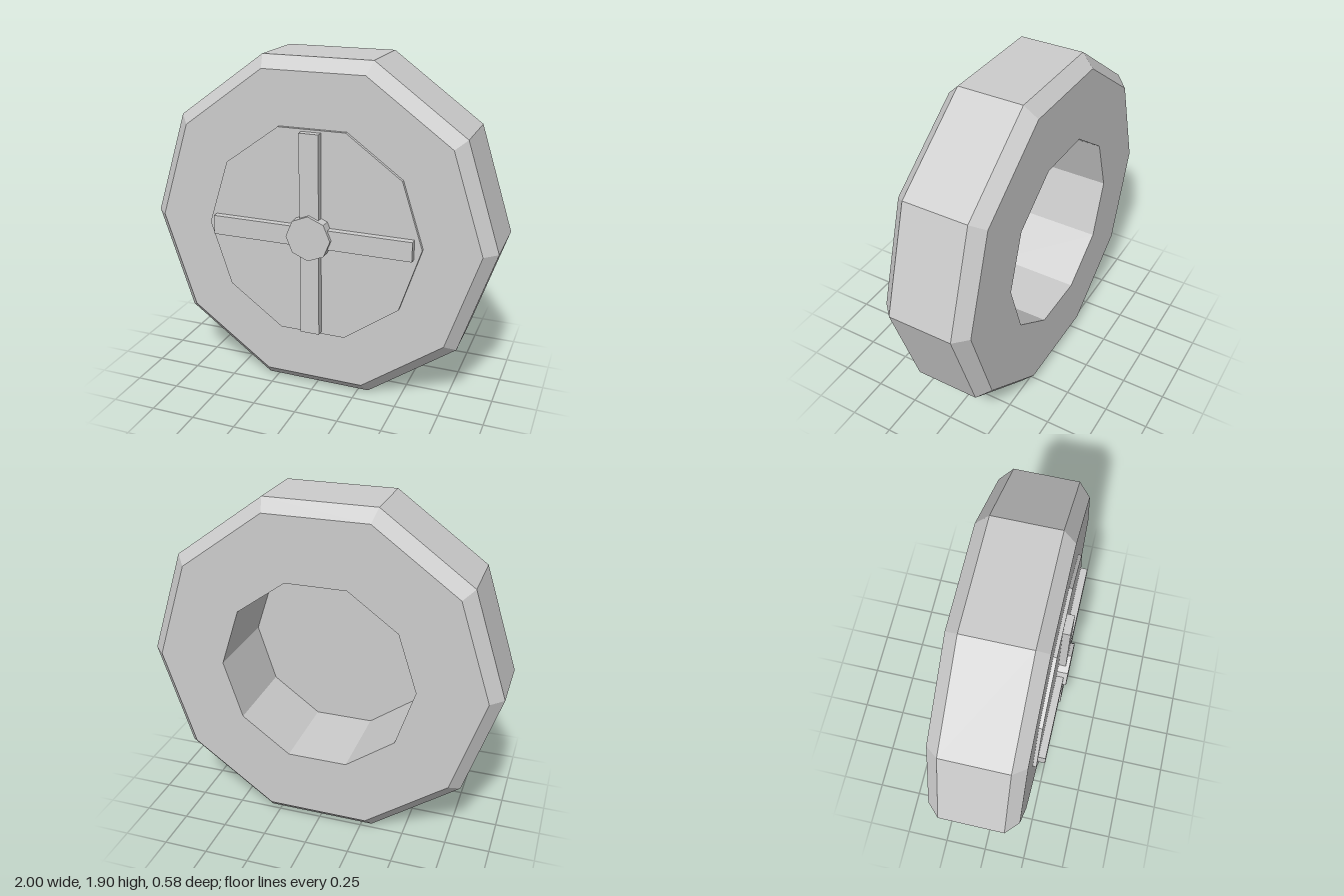
import * as THREE from 'three';

const CENTER_Y = 0.951;

export function createModel() {
  const model = new THREE.Group();
  model.name = 'wheel';
  const grey = new THREE.MeshStandardMaterial({ color: 0xcccccc, flatShading: true });
  grey.name = 'grey';

  const add = (name, geometry, z = 0) => {
    const mesh = new THREE.Mesh(geometry, grey);
    mesh.name = name;
    mesh.position.set(0, CENTER_Y, z);
    model.add(mesh);
  };

  // Flat disc facing +z with a corner on +x, spanning back to front
  const disc = (name, radius, sides, back, front) => {
    const g = new THREE.CylinderGeometry(radius, radius, front - back, sides, 1, false, Math.PI / 2);
    add(name, g.rotateX(Math.PI / 2), (front + back) / 2);
  };

  // Ten-sided tyre: chamfered ring with a straight bore
  const profile = [
    [0.55, -0.29], [0.93, -0.29], [1, -0.22], [1, 0.142],
    [0.93, 0.21], [0.55, 0.21], [0.55, -0.29],
  ].map(([r, z]) => new THREE.Vector2(r, z));
  add('tyre', new THREE.LatheGeometry(profile, 10, Math.PI / 2).rotateX(Math.PI / 2));

  // Cover plate closing the front of the bore
  disc('coverPlate', 0.618, 10, 0.21, 0.23);

  // Crossed spokes: four bars meeting under the hub
  for (let i = 0; i < 4; i++) {
    const bar = new THREE.BoxGeometry(0.515, 0.11, 0.04).translate(0.3175, 0, 0);
    add('spoke', bar.rotateZ(i * Math.PI / 2), 0.25);
  }

  // Eight-sided hub cap
  disc('hubCap', 0.128, 8, 0.23, 0.29);

  return model;
}
